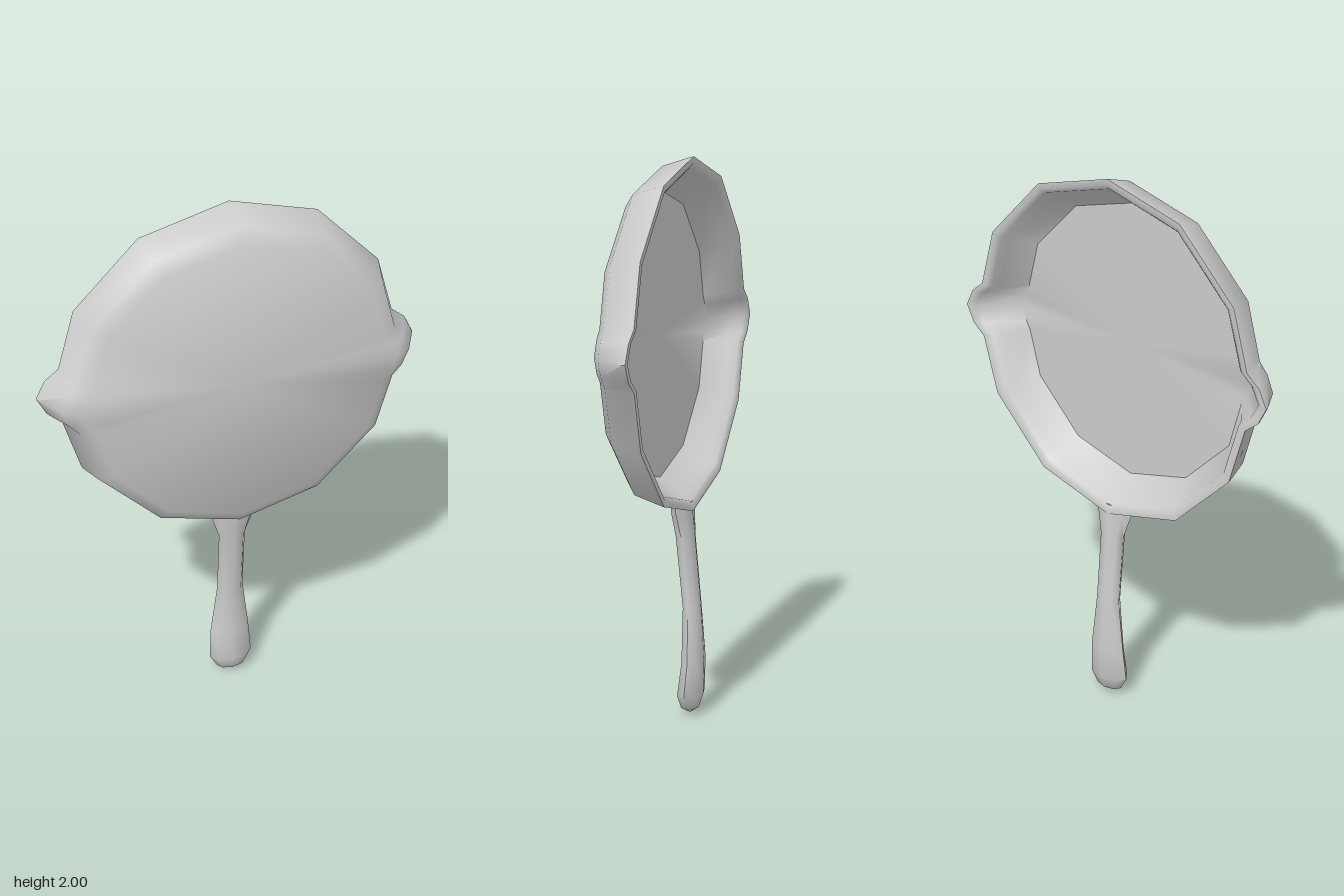
import * as THREE from 'three';
import { toCreasedNormals } from 'three/addons/utils/BufferGeometryUtils.js';

// Skin a series of closed rings, closing both ends with a fan to a centre point.
function loft(rings, startPoint, endPoint, crease) {
  const n = rings[0].length, last = (rings.length - 1) * n;
  const points = [...rings.flat(), startPoint, endPoint];
  const start = points.length - 2, end = points.length - 1;
  const index = [];
  for (let j = 0; j < n; j++) {
    const k = (j + 1) % n;
    index.push(start, j, k);
    for (let i = 0; i < last; i += n) {
      index.push(i + j, i + n + j, i + n + k, i + j, i + n + k, i + k);
    }
    index.push(last + j, end, last + k);
  }
  const geometry = new THREE.BufferGeometry().setFromPoints(points);
  geometry.setIndex(index);
  return toCreasedNormals(geometry, crease);
}

const CENTRE_Y = 1.375;

// Twelve-sided ring with a pouring spout bulging out at each side.
function panRing([radius, z, bulge]) {
  const half = [];
  for (let a = -60; a <= 60; a += 30) {
    const t = THREE.MathUtils.degToRad(a);
    if (a !== 0) half.push([radius * Math.cos(t), radius * Math.sin(t)]);
    else {
      // spout points: foot, shoulder, tip, shoulder, foot
      for (const [y, out] of [[-0.165, 0.08], [-0.1, 0.75], [0, 1], [0.1, 0.75], [0.165, 0.08]]) {
        half.push([radius * (1 - 0.27 * Math.abs(y)) + bulge * out, radius * y]);
      }
    }
  }
  const outline = [...half, [0, radius], ...half.map(([x, y]) => [-x, -y]), [0, -radius]];
  return outline.map(([x, y]) => new THREE.Vector3(x, CENTRE_Y + y, z));
}

export function createModel() {
  const group = new THREE.Group();
  const material = new THREE.MeshStandardMaterial({ color: 0xcccccc });

  // Pan: outer base, bevel, wall, rim, inner wall, floor  [radius, z, spout bulge]
  const profile = [
    [0.54, 0.095, 0.03], [0.59, 0.06, 0.035], [0.622, -0.043, 0.06], [0.625, -0.055, 0.06],
    [0.603, -0.055, 0.058], [0.588, -0.043, 0.055], [0.575, -0.01, 0.045], [0.51, 0.07, 0.015],
  ];
  const pan = new THREE.Mesh(loft(
    profile.map(panRing),
    new THREE.Vector3(0, CENTRE_Y, 0.095),
    new THREE.Vector3(0, CENTRE_Y, 0.07), 0.85), material);
  pan.name = 'pan';
  group.add(pan);

  // Handle: eight-sided sections from tip to pan  [y, half width, front z, back z]
  const sections = [
    [0.025, 0.055, -0.014, -0.078], [0.075, 0.083, 0, -0.094], [0.2, 0.075, -0.017, -0.097],
    [0.4, 0.05, -0.018, -0.085], [0.66, 0.05, 0.009, -0.062], [0.755, 0.08, 0.02, -0.053],
    [0.785, 0.085, 0.02, -0.05],
  ];
  const handleRings = sections.map(([y, w, front, back]) =>
    Array.from({ length: 8 }, (_, i) => {
      const a = i * Math.PI / 4;
      return new THREE.Vector3(w * Math.cos(a), y, (front + back) / 2 + (front - back) / 2 * Math.sin(a));
    }));
  const handle = new THREE.Mesh(loft(
    handleRings,
    new THREE.Vector3(0, 0, -0.045),
    new THREE.Vector3(0, 0.785, -0.015), 1.2), material);
  handle.name = 'handle';
  group.add(handle);

  return group;
}
